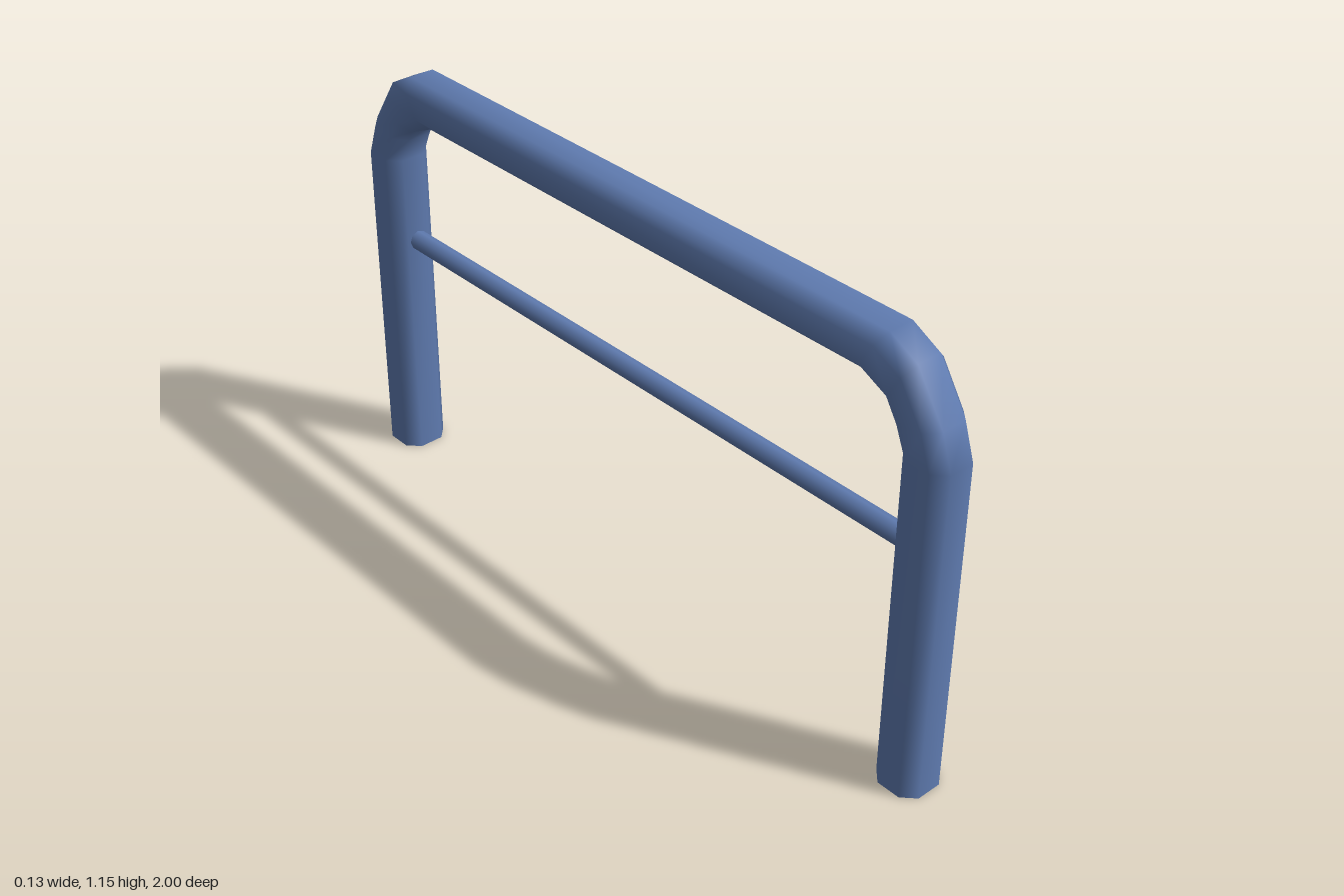
import * as THREE from 'three';

// Outer and inner edge of the frame tube, as [outer z, outer y, inner z, inner y]
const HALF = [
  [1.0, 0, 0.87, 0],
  [1.0, 0.893, 0.87, 0.893],
  [0.97, 0.984, 0.84, 0.962],
  [0.89, 1.108, 0.822, 0.993],
  [0.81, 1.15, 0.74, 1.031],
];

// Eight-sided tube section: [x, position from inner (-1) to outer (1)]
const SECTION = [
  [0.065, -0.5], [0.065, 0.5], [0.034, 1], [-0.034, 1],
  [-0.065, 0.5], [-0.065, -0.5], [-0.034, -1], [0.034, -1],
];

// Open tube swept through the slanted rings, up one leg and down the other
function frameGeometry() {
  const mirrored = HALF.map(([oz, oy, iz, iy]) => [-oz, oy, -iz, iy]).reverse();
  const rings = [...HALF, ...mirrored];
  const n = SECTION.length;
  const positions = [];
  const indices = [];
  rings.forEach(([oz, oy, iz, iy], r) => {
    SECTION.forEach(([x, t], i) => {
      const k = (t + 1) / 2;
      positions.push(x, iy + (oy - iy) * k, iz + (oz - iz) * k);
      if (r === rings.length - 1) return;
      const a = r * n + i;
      const b = r * n + (i + 1) % n;
      indices.push(a, a + n, b, b, a + n, b + n);
    });
  });
  const geometry = new THREE.BufferGeometry();
  geometry.setAttribute('position', new THREE.Float32BufferAttribute(positions, 3));
  geometry.setIndex(indices);
  geometry.computeVertexNormals();
  return geometry;
}

export function createModel() {
  const model = new THREE.Group();
  model.name = 'bikeStand';
  const paint = new THREE.MeshStandardMaterial({ color: 0x5f7bb0, side: THREE.DoubleSide });

  // Bent tube: two legs and the top rail
  const frame = new THREE.Mesh(frameGeometry(), paint);
  frame.name = 'frame';
  model.add(frame);

  // Thin rail between the legs, very slightly out of level
  const crossbar = new THREE.Mesh(new THREE.CylinderGeometry(0.026, 0.026, 1.75, 8, 1, true), paint);
  crossbar.name = 'crossbar';
  crossbar.position.y = 0.648;
  crossbar.rotation.x = Math.PI / 2 + 0.0025;
  model.add(crossbar);

  return model;
}
